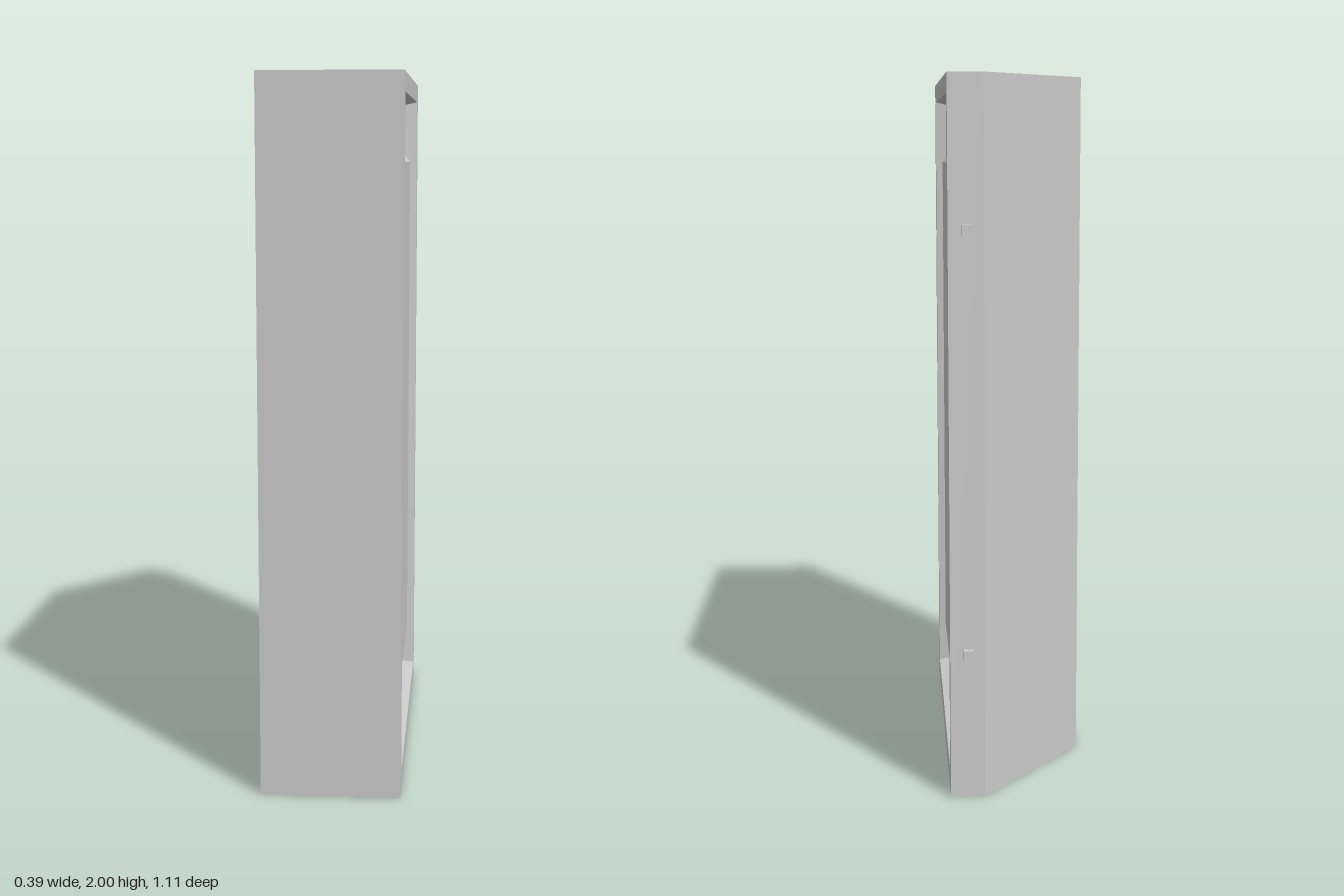
import * as THREE from 'three';

const HEIGHT = 2;
const SIDE = 0.197;    // half the width
const FRONT = 0.552;   // z of the front wall
const BACK = -0.536;   // z of the narrow back wall

const material = new THREE.MeshStandardMaterial({ color: 0xcccccc, flatShading: true });

// Flat-sided mesh from convex polygons, corners counter-clockwise from outside
function facetedMesh(name, polygons) {
  const positions = [];
  for (const p of polygons) {
    for (let i = 1; i < p.length - 1; i++) positions.push(...p[0], ...p[i], ...p[i + 1]);
  }
  const geometry = new THREE.BufferGeometry();
  geometry.setAttribute('position', new THREE.Float32BufferAttribute(positions, 3));
  geometry.computeVertexNormals();
  const mesh = new THREE.Mesh(geometry, material);
  mesh.name = name;
  return mesh;
}

// Rectangle facing +x
const rectangle = (x, zFront, zBack, y0, y1) => [
  [x, y0, zFront], [x, y0, zBack], [x, y1, zBack], [x, y1, zFront],
];

// Four quads joining each rectangle to the next one inside it
function joinRings(rings) {
  const quads = [];
  for (let r = 0; r < rings.length - 1; r++) {
    const outer = rings[r], inner = rings[r + 1];
    for (let i = 0; i < 4; i++) {
      const j = (i + 1) % 4;
      quads.push([outer[i], outer[j], inner[j], inner[i]]);
    }
  }
  return quads;
}

export function createModel() {
  const group = new THREE.Group();
  group.name = 'cornerCabinet';

  // Door side: face frame, recess and raised panel
  const doorX = SIDE - 0.04;
  const panelX = doorX + 0.025;
  const edge = rectangle(SIDE, FRONT, BACK, 0, HEIGHT);
  const opening = rectangle(SIDE, 0.498, -0.475, 0.058, 1.946);
  const recess = rectangle(doorX, 0.489, -0.466, 0.067, 1.937);
  const panelFoot = rectangle(doorX, 0.339, -0.315, 0.217, 1.788);
  const panelFace = rectangle(panelX, 0.31, -0.285, 0.246, 1.758);

  // Carcass: plan outline with one slanted corner, left open on the door side
  const plan = [[SIDE, FRONT], [SIDE, BACK], [0.1, BACK], [-SIDE, -0.181], [-SIDE, FRONT]];
  const level = (y) => plan.map(([x, z]) => [x, y, z]);
  const bottom = level(0), top = level(HEIGHT);
  const shell = [top, [...bottom].reverse()];
  for (let i = 1; i < plan.length; i++) {
    const j = (i + 1) % plan.length;
    shell.push([bottom[i], bottom[j], top[j], top[i]]);
  }
  group.add(facetedMesh('carcass', shell));
  group.add(facetedMesh('faceFrame', joinRings([edge, opening, recess])));
  group.add(facetedMesh('door', [...joinRings([recess, panelFoot, panelFace]), panelFace]));

  // Two small pegs on the back wall
  for (const [name, y] of [['lowerPeg', 0.416], ['upperPeg', 1.588]]) {
    const peg = new THREE.Mesh(new THREE.BoxGeometry(0.03, 0.03, 0.026), material);
    peg.name = name;
    peg.position.set(0.146, y, BACK - 0.005);
    group.add(peg);
  }
  return group;
}
